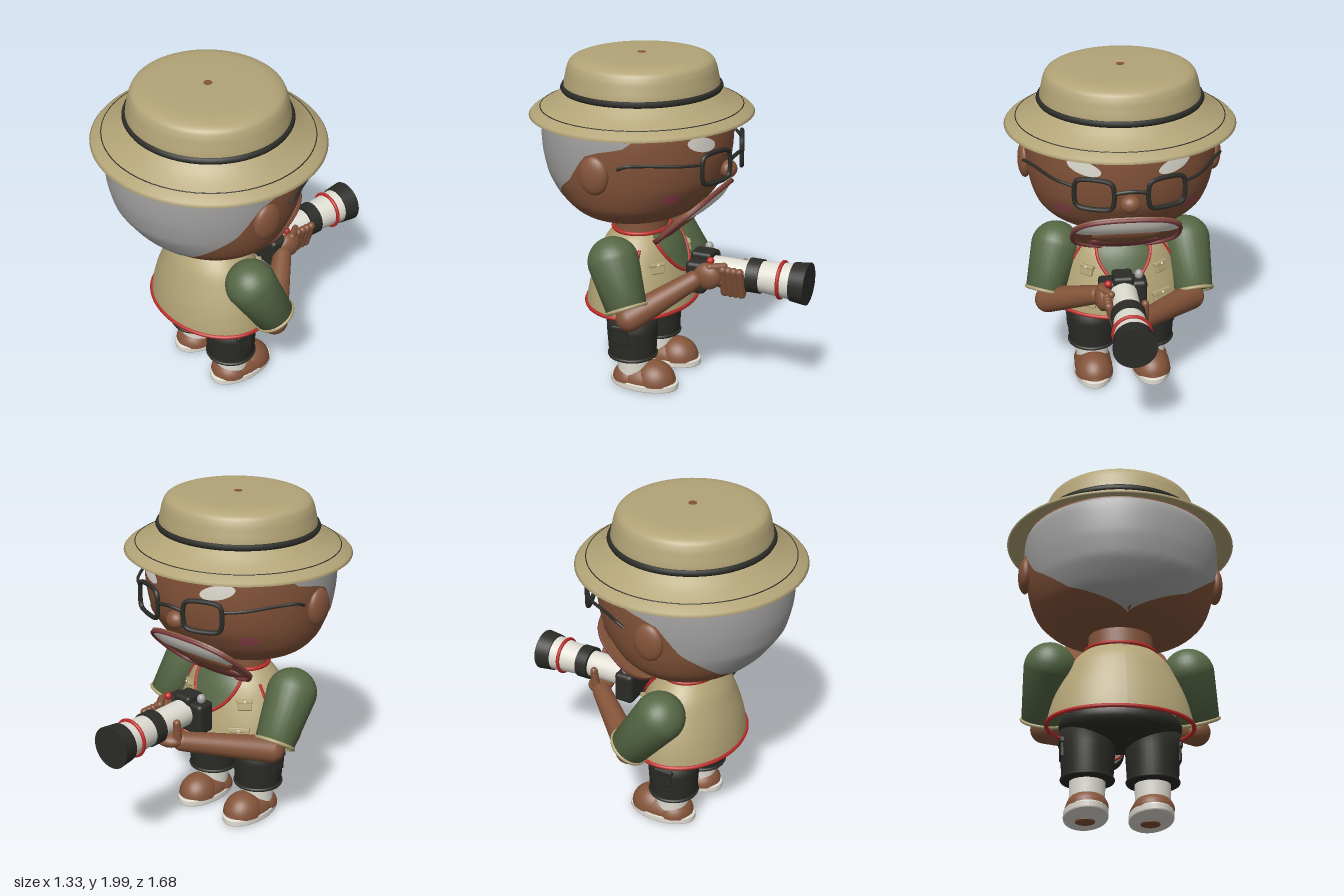
import * as THREE from 'three';
import { RoundedBoxGeometry } from 'three/addons/geometries/RoundedBoxGeometry.js';

const mat = (name, color) => {
  const m = new THREE.MeshStandardMaterial({ color, side: THREE.DoubleSide });
  m.name = name;
  return m;
};
const V = (x, y, z) => new THREE.Vector3(x, y, z);
const V2 = (x, y) => new THREE.Vector2(x, y);
const smooth = (pts, n = 40) => new THREE.SplineCurve(pts.map(p => V2(...p))).getPoints(n);

// linear lookup in [key, value] pairs sorted by key
function lookup(pts, k) {
  if (k <= pts[0][0]) return pts[0][1];
  for (let i = 1; i < pts.length; i++) {
    const [a, va] = pts[i - 1], [b, vb] = pts[i];
    if (k <= b) return va + (vb - va) * (k - a) / (b - a || 1);
  }
  return pts[pts.length - 1][1];
}

// move every vertex of a geometry by a rule
function wrap(g, f) {
  const p = g.attributes.position;
  for (let i = 0; i < p.count; i++) {
    const v = f(p.getX(i), p.getY(i), p.getZ(i));
    p.setXYZ(i, v.x, v.y, v.z);
  }
  g.computeVertexNormals();
  return g;
}

// oval lathe body with a way to lay thin pieces on its surface (angle from +z, height);
// depth lists the z scale by height
function body(points, depth, cz) {
  const prof = smooth(points);
  const byY = prof.map(p => [p.y, p.x]).sort((a, b) => a[0] - b[0]);
  const at = (th, y, off = 0) => {
    const r = lookup(byY, y) + off;
    return V(Math.sin(th) * r, y, cz + Math.cos(th) * r * lookup(depth, y));
  };
  return {
    at,
    geo: wrap(new THREE.LatheGeometry(prof, 64), (x, y, z) => V(x, y, cz + z * lookup(depth, y))),
    patch: (t0, t1, lo, hi, off) => wrap(new THREE.PlaneGeometry(1, 1, 72, 24), (u, v) => {
      const th = t0 + (u + 0.5) * (t1 - t0), a = lo(th);
      return at(th, a + (v + 0.5) * (hi - a), off);
    }),
    oval: (th, y, w, h, off, skew = 0) => wrap(new THREE.RingGeometry(0, 1, 24, 5),
      (u, v) => at(th + u * w, y + v * h + u * skew, off)),
  };
}

export function createModel() {
  const khaki = mat('khaki', 0xb3a477), skin = mat('skin', 0x84543a), green = mat('sleeve green', 0x566845),
    dark = mat('charcoal', 0x2b2c27), red = mat('trim red', 0xbd2b28), white = mat('white', 0xe0ddd3),
    grey = mat('hair grey', 0xa3a2a1), lipRed = mat('mouth red', 0x7b3b3c), pink = mat('cheek pink', 0x984852);
  const root = new THREE.Group();
  const add = (name, geo, m, x = 0, y = 0, z = 0, parent = root) => {
    const o = new THREE.Mesh(geo, m);
    o.name = name;
    o.position.set(x, y, z);
    parent.add(o);
    return o;
  };
  const ball = (name, m, x, y, z, rx, ry = rx, rz = rx, parent = root) =>
    add(name, new THREE.SphereGeometry(1, 32, 20).scale(rx, ry, rz), m, x, y, z, parent);
  const dome = (name, m, x, y, z, rx, ry, rz) =>
    add(name, new THREE.SphereGeometry(1, 32, 12, 0, Math.PI * 2, 0, Math.PI / 2).scale(rx, ry, rz), m, x, y, z);
  const tube = (name, pts, r, m, closed = false, parent = root) =>
    add(name, new THREE.TubeGeometry(new THREE.CatmullRomCurve3(pts, closed, 'centripetal'), 80, r, 8, closed), m, 0, 0, 0, parent);
  const hoop = (name, rx, rz, y, z, r, m) => tube(name, Array.from({ length: 40 }, (_, i) =>
    V(Math.cos(i * Math.PI / 20) * rx, y, z + Math.sin(i * Math.PI / 20) * rz)), r, m, true);
  // tapered limb from a to b, round at a, round or flat at b
  const limb = (name, a, b, ra, rb, m, flat = false) => {
    const len = a.distanceTo(b), p = [];
    for (let i = 0; i <= 8; i++) p.push(V2(ra * Math.sin(i * Math.PI / 16), -ra * Math.cos(i * Math.PI / 16)));
    if (flat) p.push(V2(rb, len), V2(0, len));
    else for (let i = 0; i <= 8; i++) p.push(V2(rb * Math.cos(i * Math.PI / 16), len + rb * Math.sin(i * Math.PI / 16)));
    const o = add(name, new THREE.LatheGeometry(p, 28), m, a.x, a.y, a.z);
    o.quaternion.setFromUnitVectors(V(0, 1, 0), b.clone().sub(a).normalize());
    return o;
  };

  // head, hair, cheeks and brows
  const head = body([[0, 1.06], [0.22, 1.066], [0.34, 1.085], [0.41, 1.115], [0.465, 1.165], [0.5, 1.22], [0.532, 1.32],
    [0.552, 1.45], [0.558, 1.58], [0.547, 1.66], [0.49, 1.69], [0, 1.7]],
    [[1.06, 0.84], [1.15, 0.86], [1.22, 0.9], [1.32, 0.965], [1.45, 0.985]], 0.22);
  add('head', head.geo, skin);
  const hairline = [[0, 1.085], [0.73, 1.2], [1.22, 1.37], [1.45, 1.53], [1.6, 1.56], [1.85, 1.59], [2.02, 1.66]];
  add('hair', head.patch(-2.02, 2.02, t => lookup(hairline, Math.abs(t)), 1.665, 0.006), grey);
  for (const s of [-1, 1]) {
    add('cheek', head.oval(s * 2.38, 1.28, 0.12, 0.034, 0.006), pink);
    add('eyebrow', head.oval(s * 2.68, 1.578, 0.18, 0.042, 0.008, -s * 0.02), white);
    ball('ear', skin, s * 0.555, 1.425, 0.235, 0.042, 0.11, 0.088);
    // glasses: rounded square rim and temple
    const rim = [[-0.1, -0.06], [-0.08, -0.08], [0.08, -0.08], [0.1, -0.06], [0.1, 0.06], [0.08, 0.08], [-0.08, 0.08], [-0.1, 0.06]];
    tube('glassesRim', rim.map(([u, v]) => V(s * (0.2 + u), 1.445 + v, -0.34 + u * 0.38)), 0.0135, dark, true);
    tube('glassesTemple', [V(s * 0.3, 1.48, -0.3), V(s * 0.4, 1.49, -0.22), V(s * 0.51, 1.5, -0.04),
      V(s * 0.558, 1.5, 0.04), V(s * 0.565, 1.48, 0.09)], 0.009, dark);
  }
  tube('glassesBridge', [V(-0.1, 1.46, -0.378), V(0, 1.475, -0.39), V(0.1, 1.46, -0.378)], 0.011, dark);
  ball('nose', skin, 0, 1.375, -0.335, 0.058, 0.052, 0.05);

  // wide open mouth, tilted to face forward and down
  const mouth = new THREE.Group();
  mouth.name = 'mouth';
  mouth.applyMatrix4(new THREE.Matrix4().makeBasis(V(-1, 0, 0), V(0, 0.69, -0.724), V(0, -0.724, -0.69)).setPosition(0, 1.095, -0.125));
  root.add(mouth);
  const rimAt = (t, k = 1) => {
    const c = Math.cos(t), q = Math.sin(t), e = 0.74;
    return V2(Math.sign(c) * Math.abs(c) ** e * 0.32 * k, Math.sign(q) * Math.abs(q) ** e * 0.25 * k);
  };
  const arc = k => Array.from({ length: 48 }, (_, i) => rimAt(i * Math.PI / 24, k));
  add('jaw', new THREE.ExtrudeGeometry(new THREE.Shape(arc(1)), { depth: 0.012, bevelEnabled: false }), skin, 0, 0, -0.012, mouth);
  add('teeth', wrap(new THREE.PlaneGeometry(1, 1, 40, 8), (u, v) => {
    const t = Math.PI / 2 - u * 2.8, p = rimAt(t, 0.96), k = v + 0.5, s = Math.sin(t);
    const low = V2(p.x * 0.72, 0.01 + 0.07 * s);
    return V(low.x + (p.x - low.x) * k, low.y + (p.y - low.y) * k, 0.006 + 0.035 * s * Math.sin(Math.PI * (0.25 + 0.75 * k)));
  }), white, 0, 0, 0, mouth);
  ball('tongue', skin, 0, -0.05, 0, 0.2, 0.09, 0.035, mouth);
  ball('lowerGum', lipRed, 0, -0.16, 0, 0.21, 0.07, 0.03, mouth);
  tube('lip', arc(0.97).map(p => V(p.x, p.y, 0.006)), 0.012, lipRed, true, mouth);

  // hat
  const hatLathe = (name, pts, m) => add(name, new THREE.LatheGeometry(pts, 72).scale(1, 1, 0.96), m, 0, 0, 0.196);
  const line = p => p.map(q => V2(...q));
  hatLathe('hatBrim', line([[0.5, 1.7], [0.655, 1.656], [0.667, 1.66], [0.655, 1.674], [0.6, 1.705], [0.54, 1.735], [0.5, 1.768], [0.46, 1.8]]), khaki);
  hatLathe('hatCrown', smooth([[0.462, 1.78], [0.46, 1.83], [0.45, 1.88], [0.437, 1.93], [0.415, 1.965], [0.36, 1.986], [0.27, 1.994], [0.13, 1.998], [0, 1.998]], 50), khaki);
  hatLathe('hatBand', line([[0.45, 1.79], [0.472, 1.794], [0.48, 1.808], [0.473, 1.824], [0.45, 1.828]]), dark);
  hoop('brimSeam', 0.6, 0.576, 1.705, 0.196, 0.003, dark);
  add('crownDot', new THREE.CylinderGeometry(0.024, 0.024, 0.006, 20), skin, 0, 1.997, 0.196);

  // neck and vest
  add('neck', new THREE.CylinderGeometry(0.18, 0.19, 0.24, 32).scale(1, 1, 0.85), skin, 0, 1.02, 0.21);
  const vest = body([[0.19, 0.975], [0.225, 0.95], [0.285, 0.88], [0.335, 0.78], [0.375, 0.68], [0.4, 0.59], [0.412, 0.525]], [[0, 0.77]], 0.2);
  add('vest', vest.geo, khaki);
  hoop('vestHem', 0.412, 0.318, 0.524, 0.2, 0.012, red);
  hoop('vestCollar', 0.2, 0.165, 0.972, 0.2, 0.012, red);
  const vee = t => 0.72 + 0.22 * Math.min(1, Math.abs(t - Math.PI) / 0.7) ** 1.5;
  add('shirtFront', vest.patch(Math.PI - 0.7, Math.PI + 0.7, vee, 0.97, 0.006), green);
  tube('vestNeckline', Array.from({ length: 25 }, (_, i) => {
    const t = Math.PI - 0.72 + i * 0.06;
    return vest.at(t, vee(t), 0.006);
  }), 0.01, red);
  for (const s of [-1, 1]) {
    for (const [y, w, h, t] of [[0.79, 0.085, 0.06, 0.72], [0.62, 0.12, 0.08, 0.6]]) {
      const th = Math.PI + s * t, g = new THREE.Group();
      g.name = 'vestPocket';
      g.position.copy(vest.at(th, y, 0.002));
      g.rotation.set(-0.25, th, 0, 'YXZ');
      root.add(g);
      add('pocketBag', new RoundedBoxGeometry(w, h, 0.025, 2, 0.008), khaki, 0, 0, 0, g);
      add('pocketFlap', new RoundedBoxGeometry(w + 0.01, h * 0.35, 0.035, 2, 0.006), khaki, 0, h * 0.4, 0, g);
      add('pocketButton', new THREE.SphereGeometry(0.008, 10, 8), white, 0, h * 0.36, 0.018, g);
    }
    // armhole trim
    tube('armholeTrim', [[0.3, 0.9], [0.1, 0.78], [0, 0.68], [-0.15, 0.66], [-0.35, 0.76], [-0.45, 0.9]]
      .map(([d, y]) => vest.at(s * (Math.PI / 2 - d), y, 0.004)), 0.009, red);
  }

  // sleeves and cuffs; the right arm reaches further forward to hold the lens
  for (const [a, b] of [[V(0.39, 0.865, 0.205), V(0.465, 0.625, 0.09)], [V(-0.4, 0.855, 0.215), V(-0.425, 0.605, 0.03)]]) {
    limb('sleeve', a, b, 0.148, 0.118, green, true);
    const cuff = add('cuff', new THREE.TorusGeometry(0.116, 0.011, 8, 36), khaki, b.x, b.y, b.z);
    cuff.quaternion.setFromUnitVectors(V(0, 0, 1), b.clone().sub(a).normalize());
  }

  // forearms and hands
  limb('forearm', V(0.45, 0.565, 0.08), V(0.18, 0.74, -0.2), 0.08, 0.055, skin);
  limb('forearm', V(-0.41, 0.565, 0.02), V(-0.07, 0.655, -0.37), 0.08, 0.057, skin);
  ball('hand', skin, 0.15, 0.765, -0.27, 0.05, 0.08, 0.085);
  ball('hand', skin, -0.01, 0.67, -0.41, 0.09, 0.045, 0.075);
  for (let i = 0; i < 4; i++) {
    limb('finger', V(0.16, 0.73 + i * 0.032, -0.29), V(0.11, 0.73 + i * 0.032, -0.36), 0.022, 0.02, skin);
    limb('finger', V(0.09, 0.66, -0.36 - i * 0.034), V(0.135, 0.81, -0.36 - i * 0.034), 0.025, 0.024, skin);
  }
  limb('thumb', V(-0.07, 0.67, -0.41), V(-0.075, 0.79, -0.42), 0.028, 0.022, skin);

  // camera body
  const cx = 0.03, cy = 0.765;
  add('cameraBody', new RoundedBoxGeometry(0.28, 0.19, 0.12, 3, 0.025), dark, cx, 0.745, -0.2);
  add('cameraHump', new RoundedBoxGeometry(0.12, 0.08, 0.13, 3, 0.02), dark, cx, 0.835, -0.205);
  ball('cameraDial', grey, -0.065, 0.86, -0.2, 0.025, 0.03, 0.025);
  ball('shutterButton', red, 0.12, 0.85, -0.28, 0.022);
  // lens sections: name, back radius, front radius, z start, z end
  for (const [n, r0, r1, z0, z1, m] of [['lensMount', 0.08, 0.08, 0.25, 0.5, white], ['focusRing', 0.1, 0.1, 0.49, 0.565, dark],
    ['lensBarrel', 0.09, 0.105, 0.56, 0.755, white], ['lensHood', 0.112, 0.123, 0.75, 0.842, dark]])
    add(n, new THREE.CylinderGeometry(r1, r0, z1 - z0, 40).rotateX(-Math.PI / 2), m, cx, cy, -(z0 + z1) / 2);
  add('lensStripe', new THREE.TorusGeometry(0.104, 0.011, 10, 40), red, cx, cy, -0.685);

  // trousers, socks and shoes
  ball('hips', dark, 0, 0.52, 0.2, 0.345, 0.125, 0.25);
  const soleShape = new THREE.Shape();
  soleShape.absellipse(0, 0.115, 0.115, 0.207, 0, Math.PI * 2);
  for (const s of [-1, 1]) {
    const x = s * 0.18;
    add('trouserLeg', new THREE.LatheGeometry([V2(0, 0.2), V2(0.138, 0.2), V2(0.142, 0.22), V2(0.152, 0.38), V2(0.155, 0.5), V2(0, 0.53)], 36), dark, x, 0, 0.19);
    add('trouserHem', new THREE.TorusGeometry(0.14, 0.011, 8, 36).rotateX(Math.PI / 2), dark, x, 0.211, 0.19);
    add('legPocket', new RoundedBoxGeometry(0.03, 0.11, 0.1, 2, 0.01), dark, s * 0.319, 0.375, 0.2);
    add('legPocketFlap', new RoundedBoxGeometry(0.04, 0.035, 0.115, 2, 0.01), dark, s * 0.32, 0.42, 0.2);
    add('sock', new THREE.CylinderGeometry(0.1, 0.098, 0.14, 28), white, x, 0.145, 0.18);
    add('sole', new THREE.ExtrudeGeometry(soleShape,
      { depth: 0.028, bevelThickness: 0.008, bevelSize: 0.008, bevelSegments: 2, curveSegments: 24 }).rotateX(Math.PI / 2), white, x, 0.05, 0);
    add('solePad', new THREE.CylinderGeometry(0.055, 0.055, 0.008, 24).scale(1, 1, 1.1), skin, x, 0.012, 0.08);
    // shoe: low heel, rounded higher toe
    dome('shoeUpper', skin, x, 0.05, 0.115, 0.118, 0.105, 0.2);
    dome('shoeToe', skin, x, 0.05, 0.05, 0.117, 0.125, 0.132);
    dome('shoeHeel', skin, x, 0.05, 0.2, 0.116, 0.095, 0.112);
  }
  return root;
}
